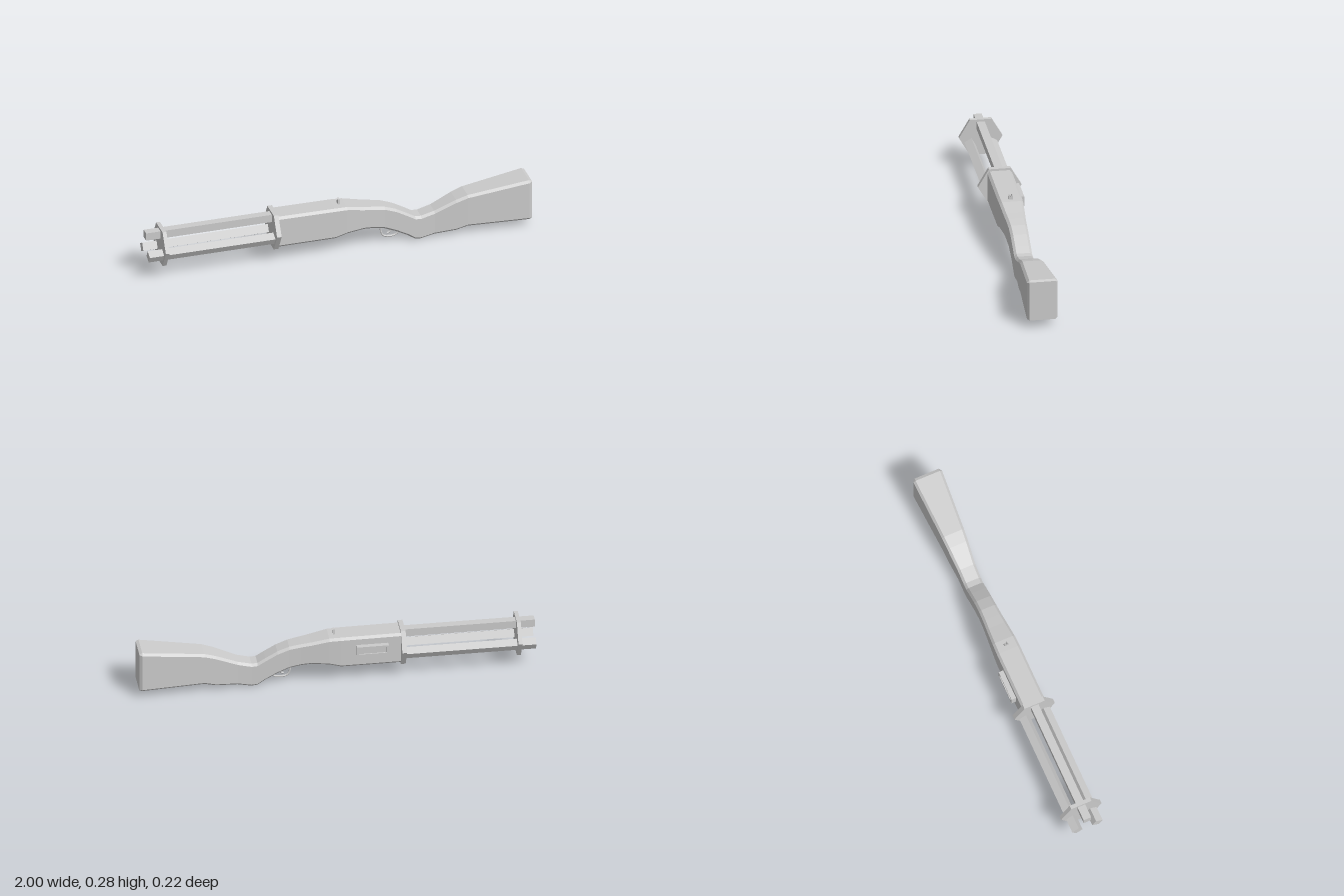
import * as THREE from 'three';

const material = new THREE.MeshStandardMaterial({ color: 0xcccccc, flatShading: true });

function add(parent, name, geometry, x = 0, y = 0, z = 0) {
  const mesh = new THREE.Mesh(geometry, material);
  mesh.name = name;
  mesh.position.set(x, y, z);
  parent.add(mesh);
  return mesh;
}

// Skin chamfered rectangular sections [x, bottom, top, halfWidth, chamfer] along x
function loft(sections) {
  const rings = sections.map(([x, b, t, w, c]) => [
    [w, b + c], [w, t - c], [w - c, t], [c - w, t],
    [-w, t - c], [-w, b + c], [c - w, b], [w - c, b],
  ].map(([z, y]) => [x, y, z]));
  const pos = [];
  const tri = (...points) => points.forEach((p) => pos.push(...p));
  const first = rings[0], last = rings[rings.length - 1];
  for (let i = 0; i < 8; i++) {
    const j = (i + 1) % 8;
    for (let k = 0; k < rings.length - 1; k++) {
      const r = rings[k], s = rings[k + 1];
      tri(r[i], s[i], r[j]);
      tri(s[i], s[j], r[j]);
    }
    if (i > 0 && j > 0) {
      tri(first[0], first[i], first[j]);
      tri(last[0], last[j], last[i]);
    }
  }
  const geometry = new THREE.BufferGeometry();
  geometry.setAttribute('position', new THREE.Float32BufferAttribute(pos, 3));
  geometry.computeVertexNormals();
  return geometry;
}

export function createModel() {
  const model = new THREE.Group();
  model.name = 'gun';

  // Receiver flowing through the grip into the shoulder stock
  const c = 0.012;
  add(model, 'stock', loft([
    [-0.33, 0.086, 0.256, 0.062, c],
    [-0.02, 0.086, 0.254, 0.062, c],
    [0.04, 0.102, 0.252, 0.060, c],
    [0.13, 0.110, 0.234, 0.054, c],
    [0.18, 0.105, 0.226, 0.050, c],
    [0.24, 0.092, 0.215, 0.047, c],
    [0.30, 0.066, 0.192, 0.046, c],
    [0.36, 0.034, 0.158, 0.046, c],
    [0.40, 0.007, 0.134, 0.046, c],
    [0.43, 0.004, 0.132, 0.046, c],
    [0.50, 0.019, 0.150, 0.047, c],
    [0.61, 0.028, 0.198, 0.056, c],
    [0.67, 0.044, 0.218, 0.060, c],
    [0.985, 0.040, 0.261, 0.078, c],
    [1.00, 0.046, 0.255, 0.068, 0.003],
  ]));

  // Hexagonal plates that hold the barrels
  for (const [name, x, thickness] of [['frontPlate', -0.915, 0.02], ['rearPlate', -0.332, 0.024]]) {
    const hex = new THREE.CylinderGeometry(0.11, 0.11, thickness, 6);
    hex.rotateZ(Math.PI / 2);
    add(model, name, hex, x, 0.172, 0);
  }

  // Three square barrels spaced evenly around the axis
  const barrels = new THREE.Group();
  barrels.name = 'barrels';
  barrels.position.y = 0.172;
  for (let i = 0; i < 3; i++) {
    const barrel = new THREE.BoxGeometry(0.67, 0.041, 0.041);
    barrel.translate(-0.665, 0.063, 0);
    add(barrels, 'barrel', barrel).rotation.x = i * Math.PI * 2 / 3;
  }
  model.add(barrels);

  // Framed ejection port on the right side
  const port = new THREE.Group();
  port.name = 'ejectionPort';
  port.position.set(-0.175, 0.185, -0.073);
  add(port, 'portDoor', new THREE.BoxGeometry(0.15, 0.042, 0.022), 0, 0, 0.003);
  for (const side of [-1, 1]) {
    add(port, 'portRail', new THREE.BoxGeometry(0.16, 0.01, 0.028), 0, side * 0.021, 0);
    add(port, 'portEnd', new THREE.BoxGeometry(0.01, 0.042, 0.028), side * 0.075, 0, 0);
  }
  model.add(port);

  // Rear sight: a notched blade
  const notch = new THREE.Shape([
    [-0.012, -0.01], [0.012, -0.01], [0.01, 0.028], [0.006, 0.028],
    [0, 0.014], [-0.006, 0.028], [-0.01, 0.028],
  ].map(([x, y]) => new THREE.Vector2(x, y)));
  const sight = new THREE.ExtrudeGeometry(notch, { depth: 0.01, bevelEnabled: false });
  sight.rotateY(Math.PI / 2);
  add(model, 'sight', sight, 0.005, 0.252, 0);

  // Trigger guard and trigger
  const tube = (points, radius) => new THREE.TubeGeometry(
    new THREE.CatmullRomCurve3(points.map(([x, y]) => new THREE.Vector3(x, y, 0))), 16, radius, 6);
  add(model, 'triggerGuard', tube([
    [0.238, 0.105], [0.231, 0.065], [0.243, 0.034], [0.275, 0.026],
    [0.308, 0.030], [0.323, 0.046], [0.320, 0.07],
  ], 0.005));
  add(model, 'trigger', tube([[0.278, 0.09], [0.285, 0.066], [0.277, 0.05], [0.264, 0.044]], 0.005));

  return model;
}
